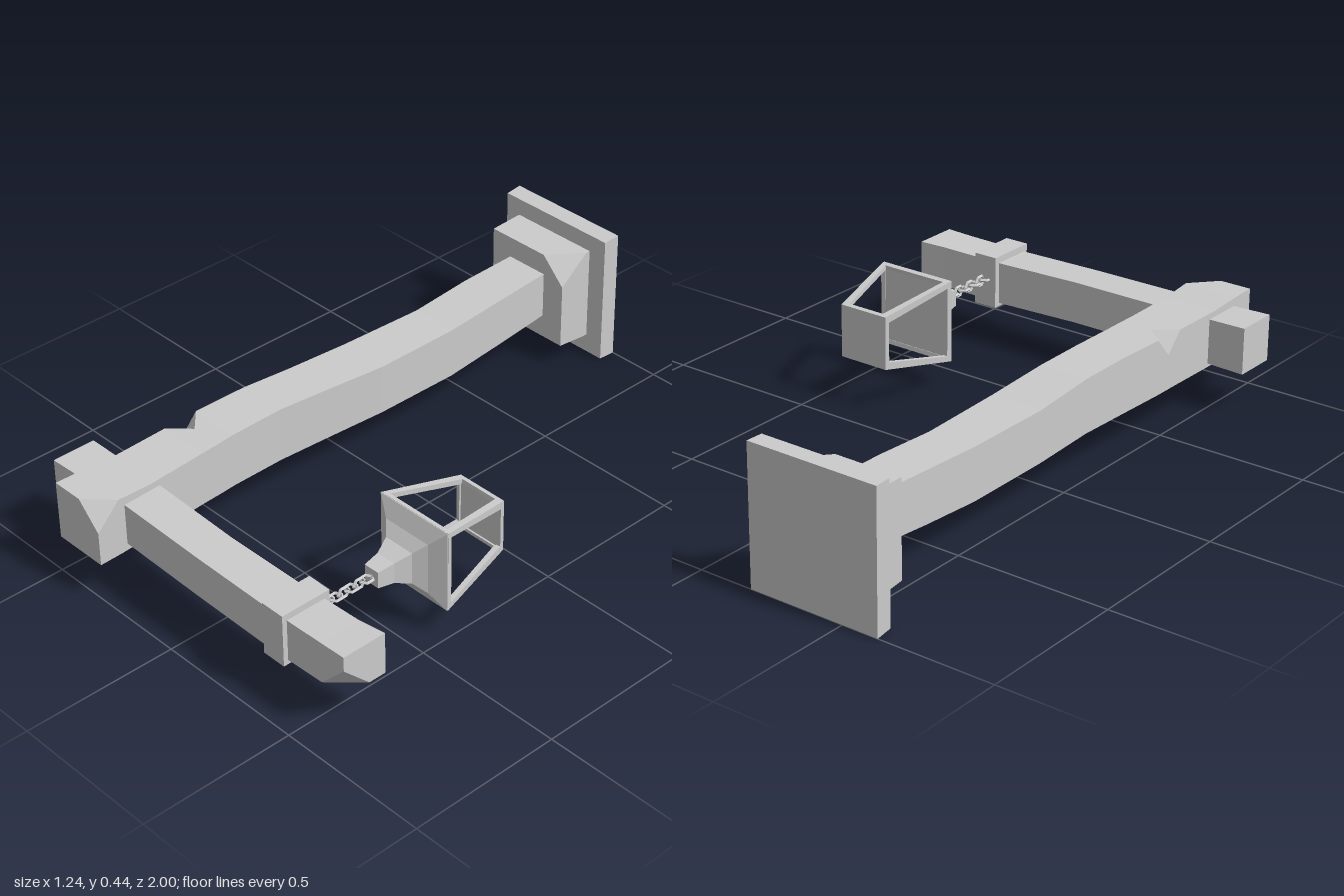
import * as THREE from 'three';

const mat = new THREE.MeshStandardMaterial({ color: 0xcccccc, flatShading: true });

function add(parent, name, geometry) {
  const mesh = new THREE.Mesh(geometry, mat);
  mesh.name = name;
  parent.add(mesh);
  return mesh;
}

// Hewn timber along z. Section: [z, x0, x1, y0, y1, chips], where chips holds
// the cut size at each corner: low-low, high-low, high-high, low-high.
function hewn(sections) {
  const rings = sections.map(([z, x0, x1, y0, y1, c = [0, 0, 0, 0]]) => [
    [x0, y0 + c[0]], [x0 + c[0], y0], [x1 - c[1], y0], [x1, y0 + c[1]],
    [x1, y1 - c[2]], [x1 - c[2], y1], [x0 + c[3], y1], [x0, y1 - c[3]],
  ].map(([x, y]) => new THREE.Vector3(x, y, z)));
  const pos = [];
  const tri = (a, b, c) => {
    const area = b.clone().sub(a).cross(c.clone().sub(a)).length();
    if (area > 1e-7) for (const p of [a, b, c]) pos.push(p.x, p.y, p.z);
  };
  for (let i = 0; i < rings.length - 1; i++) {
    for (let j = 0; j < 8; j++) {
      const k = (j + 1) % 8, r = rings[i], s = rings[i + 1];
      tri(r[j], r[k], s[k]);
      tri(r[j], s[k], s[j]);
    }
  }
  const first = rings[0], last = rings[rings.length - 1];
  for (let j = 1; j < 7; j++) {
    tri(first[0], first[j + 1], first[j]);
    tri(last[0], last[j], last[j + 1]);
  }
  const g = new THREE.BufferGeometry();
  g.setAttribute('position', new THREE.Float32BufferAttribute(pos, 3));
  g.computeVertexNormals();
  return g;
}

function box(x0, x1, y0, y1, z0, z1) {
  return new THREE.BoxGeometry(x1 - x0, y1 - y0, z1 - z0)
    .translate((x0 + x1) / 2, (y0 + y1) / 2, (z0 + z1) / 2);
}

// Lantern built along local y, later laid along z
function makeLantern() {
  const lantern = new THREE.Group();
  lantern.name = 'lantern';
  const y0 = 0.13, y1 = 0.395, r0 = 0.087, r1 = 0.135;

  // Flared four-sided cap with neck
  const profile = [[0, 0.385], [r1 - 0.004, 0.385], [r1, 0.398], [0.085, 0.425],
    [0.053, 0.455], [0.034, 0.505], [0.027, 0.56], [0, 0.56]]
    .map(([r, y]) => new THREE.Vector2(r * Math.SQRT2, y));
  add(lantern, 'lanternCap', new THREE.LatheGeometry(profile, 4).rotateY(Math.PI / 4));

  // Open tapered side frames
  const h = y1 - y0, len = Math.hypot(h, r1 - r0), tilt = Math.atan2(r1 - r0, h);
  const bar = 0.021, depth = 0.014;
  const trapezoid = (a, b, lo, hi) => [[-a, lo], [a, lo], [b, hi], [-b, hi]]
    .map(([x, y]) => new THREE.Vector2(x, y));
  const shape = new THREE.Shape(trapezoid(r0, r1, 0, len));
  shape.holes.push(new THREE.Path(trapezoid(r0 - bar, r1 - bar, 0.015, len - 0.015).reverse()));
  for (let i = 0; i < 4; i++) {
    add(lantern, 'lanternSideFrame',
      new THREE.ExtrudeGeometry(shape, { depth, bevelEnabled: false })
        .translate(0, 0, -depth).rotateX(tilt).translate(0, y0, r0).rotateY(i * Math.PI / 2));
  }

  // Closed floor
  add(lantern, 'lanternFloor', box(-r0, r0, y0, y0 + 0.012, -r0, r0));
  lantern.rotation.x = Math.PI / 2;
  lantern.position.set(0.355, 0.222, 0);
  return lantern;
}

export function createModel() {
  const model = new THREE.Group();
  model.name = 'lanternPost';

  // Foot: plate and chipped block
  add(model, 'basePlate', hewn([
    [-1, -0.62, -0.18, 0, 0.442],
    [-0.94, -0.615, -0.18, 0.003, 0.44],
  ]));
  add(model, 'baseBlock', hewn([
    [-0.945, -0.56, -0.245, 0.066, 0.382],
    [-0.925, -0.56, -0.245, 0.066, 0.382],
    [-0.82, -0.557, -0.247, 0.075, 0.38, [0, 0, 0.085, 0]],
  ]));

  // Wavy post with a nick in one edge and a chipped end
  add(model, 'post', hewn([
    [-0.84, -0.48, -0.33, 0.155, 0.31],
    [-0.62, -0.483, -0.322, 0.138, 0.302],
    [-0.4, -0.478, -0.318, 0.12, 0.288],
    [-0.1, -0.485, -0.312, 0.127, 0.293],
    [0.13, -0.482, -0.318, 0.135, 0.31],
    [0.3, -0.49, -0.326, 0.137, 0.318],
    [0.48, -0.495, -0.325, 0.136, 0.316],
    [0.54, -0.494, -0.322, 0.135, 0.314, [0, 0, 0, 0.065]],
    [0.6, -0.493, -0.32, 0.134, 0.312],
    [0.8, -0.49, -0.31, 0.13, 0.308],
    [0.92, -0.49, -0.305, 0.127, 0.316],
    [1, -0.49, -0.303, 0.127, 0.318, [0, 0, 0.08, 0]],
  ]));

  // Crossbeam, made along z then turned along x
  add(model, 'crossbeam', hewn([
    [-0.615, -0.915, -0.77, 0.138, 0.29],
    [-0.3, -0.9, -0.768, 0.15, 0.287],
    [0.02, -0.905, -0.776, 0.147, 0.284],
    [0.3, -0.905, -0.77, 0.142, 0.28],
    [0.53, -0.903, -0.765, 0.148, 0.284],
    [0.62, -0.903, -0.754, 0.15, 0.287, [0.09, 0, 0, 0]],
  ]).rotateY(Math.PI / 2));
  add(model, 'strap', box(0.313, 0.395, 0.13, 0.303, 0.75, 0.92));

  // Chain of alternating links
  for (let i = 0; i < 7; i++) {
    const link = add(model, 'chainLink', new THREE.TorusGeometry(0.018, 0.0055, 4, 6));
    link.scale.x = 1.1;
    link.rotation.set(i % 2 ? 0 : Math.PI / 2, Math.PI / 2, 0, 'XYZ');
    if (i % 2 === 0) link.rotation.set(-Math.PI / 2, 0, Math.PI / 2);
    link.position.set(0.355, 0.222, 0.75 - i * 0.0285);
  }

  model.add(makeLantern());
  return model;
}
